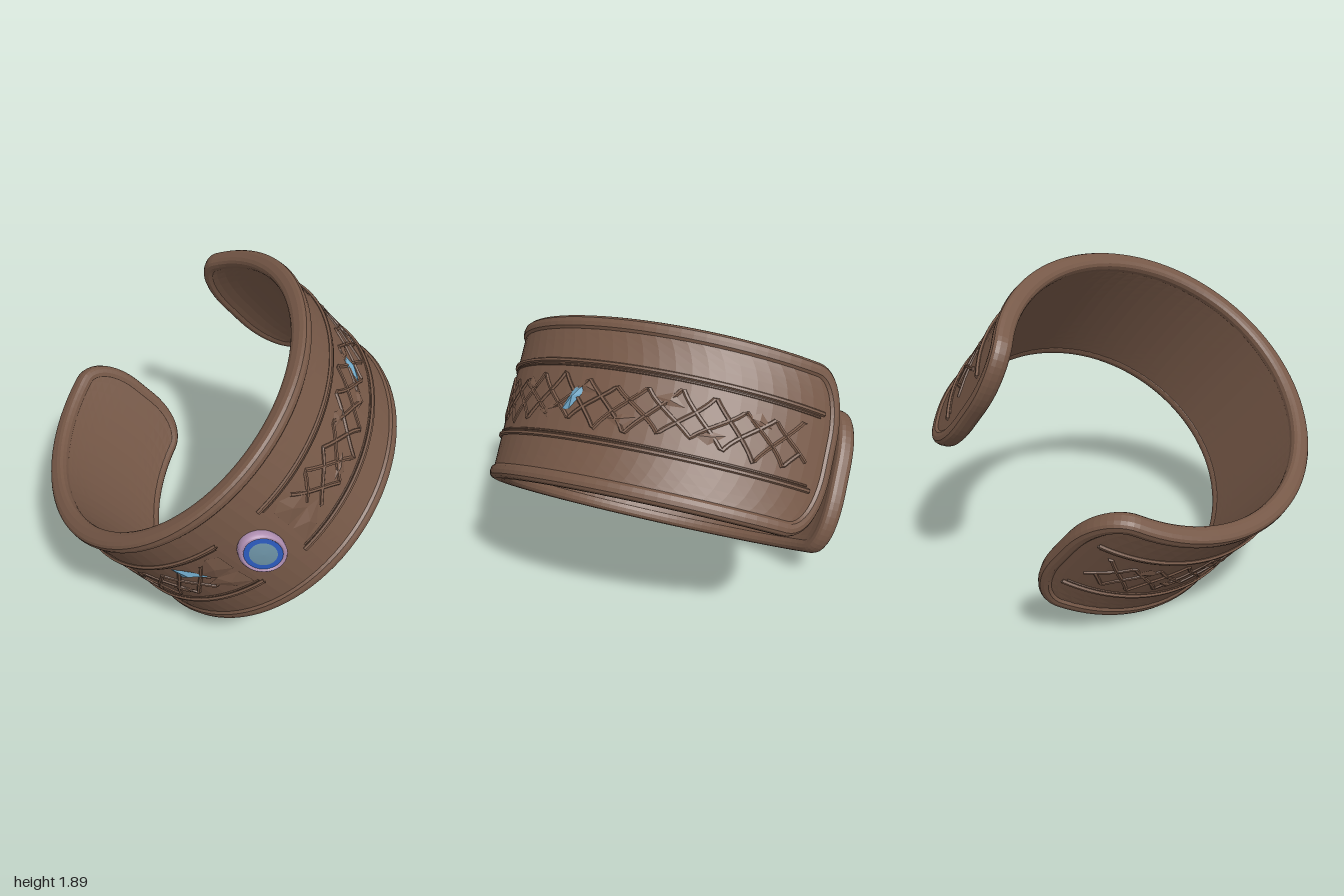
import * as THREE from 'three';

const mat = (name, color, extra = {}) => {
  const m = new THREE.MeshStandardMaterial({ color, ...extra });
  m.name = name;
  return m;
};

// Cuff dimensions: elliptical plan, open at the back, rounded end corners
const RX = 0.93, RZ = 1.04, CZ = -0.09, HALF = 0.41, THICK = 0.084;
const END = THREE.MathUtils.degToRad(151);

// Outward normal of the cuff at angle t from the front
function normalAt(t) {
  return new THREE.Vector3(Math.sin(t) / RX, 0, Math.cos(t) / RZ).normalize();
}

// Point on the cuff: angle t, height v, offset h along the normal
function onCuff(t, v, h = 0) {
  return new THREE.Vector3(RX * Math.sin(t), v, CZ + RZ * Math.cos(t)).addScaledVector(normalAt(t), h);
}

// End angle at height v
function endAngle(v) {
  const k = Math.min(1, Math.max(0, (Math.abs(v) - 0.08) / (HALF - 0.08)));
  return END - 0.2 * (1 - Math.sqrt(1 - k * k));
}

function geometry(pos, idx) {
  const g = new THREE.BufferGeometry();
  g.setAttribute('position', new THREE.Float32BufferAttribute(pos, 3));
  if (idx) g.setIndex(idx);
  g.computeVertexNormals();
  return g;
}

// One curved sheet of the band
function sheet(h, inward) {
  const cols = 64, rows = 18, pos = [], idx = [];
  for (let j = 0; j <= rows; j++) {
    const v = HALF * Math.sin((j / rows - 0.5) * Math.PI);
    for (let i = 0; i <= cols; i++) {
      pos.push(...onCuff((2 * i / cols - 1) * endAngle(v), v, h).toArray());
      if (i === cols || j === rows) continue;
      const a = j * (cols + 1) + i, b = a + 1, c = a + cols + 1, d = c + 1;
      if (inward) idx.push(a, c, b, b, c, d);
      else idx.push(a, b, c, b, d, c);
    }
  }
  return geometry(pos, idx);
}

// Thick rounded rim swept around the whole outline
function rimGeometry() {
  const path = [], T = endAngle(HALF), sides = 14, pos = [], idx = [];
  for (const s of [1, -1]) {
    for (let i = 0; i < 80; i++) path.push([s * T * (2 * i / 80 - 1), s * HALF]);
    for (let i = 0; i < 28; i++) {
      const v = HALF * Math.cos(i / 28 * Math.PI);
      path.push([s * endAngle(v), s * v]);
    }
  }
  const n = path.length, centre = path.map(p => onCuff(...p, -0.037));
  const soft = x => Math.sign(x) * Math.abs(x) ** 0.75;
  path.forEach(([t], i) => {
    const along = centre[(i + 1) % n].clone().sub(centre[(i + n - 1) % n]).normalize();
    const out = normalAt(t), side = out.clone().cross(along).normalize();
    for (let k = 0; k < sides; k++) {
      const a = k / sides * Math.PI * 2;
      pos.push(...centre[i].clone().addScaledVector(out, 0.054 * soft(Math.cos(a)))
        .addScaledVector(side, 0.042 * soft(Math.sin(a))).toArray());
      const p = i * sides + k, q = i * sides + (k + 1) % sides;
      const r = ((i + 1) % n) * sides + k, w = ((i + 1) % n) * sides + (k + 1) % sides;
      idx.push(p, r, q, q, r, w);
    }
  });
  // Corners run so that the outer face is the front face
  for (let i = 0; i < idx.length; i += 3) [idx[i + 1], idx[i + 2]] = [idx[i + 2], idx[i + 1]];
  return geometry(pos, idx);
}

// Low faceted plate on the cuff; corners are [t, v], counter-clockwise
function plate(corners, rise) {
  const n = corners.length, pos = [];
  const mid = [0, 1].map(k => corners.reduce((s, p) => s + p[k], 0) / n);
  corners.forEach((p, i) => {
    pos.push(...onCuff(...p, 0.004).toArray(), ...onCuff(...corners[(i + 1) % n], 0.004).toArray(),
      ...onCuff(...mid, rise).toArray());
  });
  return geometry(pos);
}

// Raised bead running along fn(0..1) -> [t, v]
function bead(fn, steps, radius, h, sides = 6) {
  const pts = [];
  for (let i = 0; i <= steps; i++) pts.push(onCuff(...fn(i / steps), h));
  return new THREE.TubeGeometry(new THREE.CatmullRomCurve3(pts), steps, radius, sides, false);
}

export function createModel() {
  const wood = mat('brown', 0x765847, { flatShading: true, side: THREE.DoubleSide });
  const mauve = mat('mauve', 0xb08fb2);
  const blue = mat('royal blue', 0x2c5cc0);
  const pale = mat('grey blue', 0x6d93a6);
  const sky = mat('sky blue', 0x6ea6c6, { flatShading: true, side: THREE.DoubleSide });

  const cuff = new THREE.Group();
  cuff.name = 'cuff';
  const add = (name, geo, material, parent = cuff) => {
    const m = new THREE.Mesh(geo, material);
    m.name = name;
    parent.add(m);
  };

  // Band and rim
  add('outerBand', sheet(0, false), wood);
  add('innerBand', sheet(-THICK, true), wood);
  add('rim', rimGeometry(), wood);

  // Carved panels on both sides
  for (const s of [-1, 1]) {
    const panel = new THREE.Group();
    panel.name = s > 0 ? 'leftPanel' : 'rightPanel';
    cuff.add(panel);
    const mirror = pts => {
      const p = pts.map(([t, v]) => [s * t, v]);
      return s > 0 ? p : p.reverse();
    };

    // Border ridges, a thick one with a fine one inside
    for (const e of [-1, 1]) {
      add('borderRidge', bead(f => [s * (0.15 + 2.38 * f), e * 0.2], 56, 0.013, 0.004), wood, panel);
      add('fineRidge', bead(f => [s * (0.17 + 2.34 * f), e * 0.178], 56, 0.006, 0.001), wood, panel);
    }

    // Interlaced strands
    for (const phase of [0, 2.1, 4.2]) {
      add('knotStrand', bead(f => {
        const a = phase + 27 * f;
        return [s * (0.36 + 2.08 * f + 0.03 * Math.sin(2 * a)),
          (0.115 + 0.025 * Math.sin(9 * f + phase)) * Math.sin(a)];
      }, 150, 0.012, -0.002), wood, panel);
    }

    // Forked leaf at the front of the panel
    add('upperLeaf', plate(mirror([[0.2, 0], [0.34, -0.02], [0.42, 0.05], [0.27, 0.15], [0.2, 0.12]]), 0.016), wood, panel);
    add('lowerLeaf', plate(mirror([[0.19, -0.16], [0.3, -0.14], [0.42, -0.05], [0.34, -0.02], [0.2, -0.04]]), 0.016), wood, panel);
    // Small leaves between the strands
    for (let i = 0; i < 8; i++) {
      const t = 0.62 + i * 0.22, v = i % 2 ? 0.075 : -0.075;
      add('leaf', plate(mirror([[t - 0.07, v], [t, v - 0.035], [t + 0.08, v * 0.6], [t + 0.01, v + 0.035]]), 0.013), wood, panel);
    }
  }

  // Inlaid shards
  add('frontShard', plate([[-0.51, 0.065], [-0.36, 0.01], [-0.42, 0.095], [-0.51, 0.16]], 0.022), sky);
  add('sideShard', plate([[1.155, -0.06], [1.2, -0.055], [1.26, 0.03], [1.265, 0.085], [1.2, 0.05]], 0.022), sky);

  // Oval jewel on the front
  const jewel = new THREE.Group();
  jewel.name = 'jewel';
  jewel.position.z = 0.943;
  jewel.scale.set(0.117, 0.15, 1);
  cuff.add(jewel);
  const lathe = (name, profile, material) => {
    const g = new THREE.LatheGeometry(profile.map(p => new THREE.Vector2(...p)), 32);
    add(name, g.rotateX(Math.PI / 2), material, jewel);
  };
  lathe('jewelSetting', [[0.96, 0], [1, 0.012], [1, 0.038], [0.94, 0.05], [0.86, 0.055], [0.8, 0.046]], mauve);
  lathe('jewelRing', [[0.82, 0.046], [0.58, 0.047]], blue);
  lathe('jewelCentre', [[0.6, 0.046], [0.4, 0.05], [0, 0.052]], pale);

  // Tilt the cuff onto its edge
  cuff.rotation.z = THREE.MathUtils.degToRad(40.5);
  cuff.position.y = 0.955;
  const model = new THREE.Group();
  model.name = 'bracelet';
  model.add(cuff);
  return model;
}
